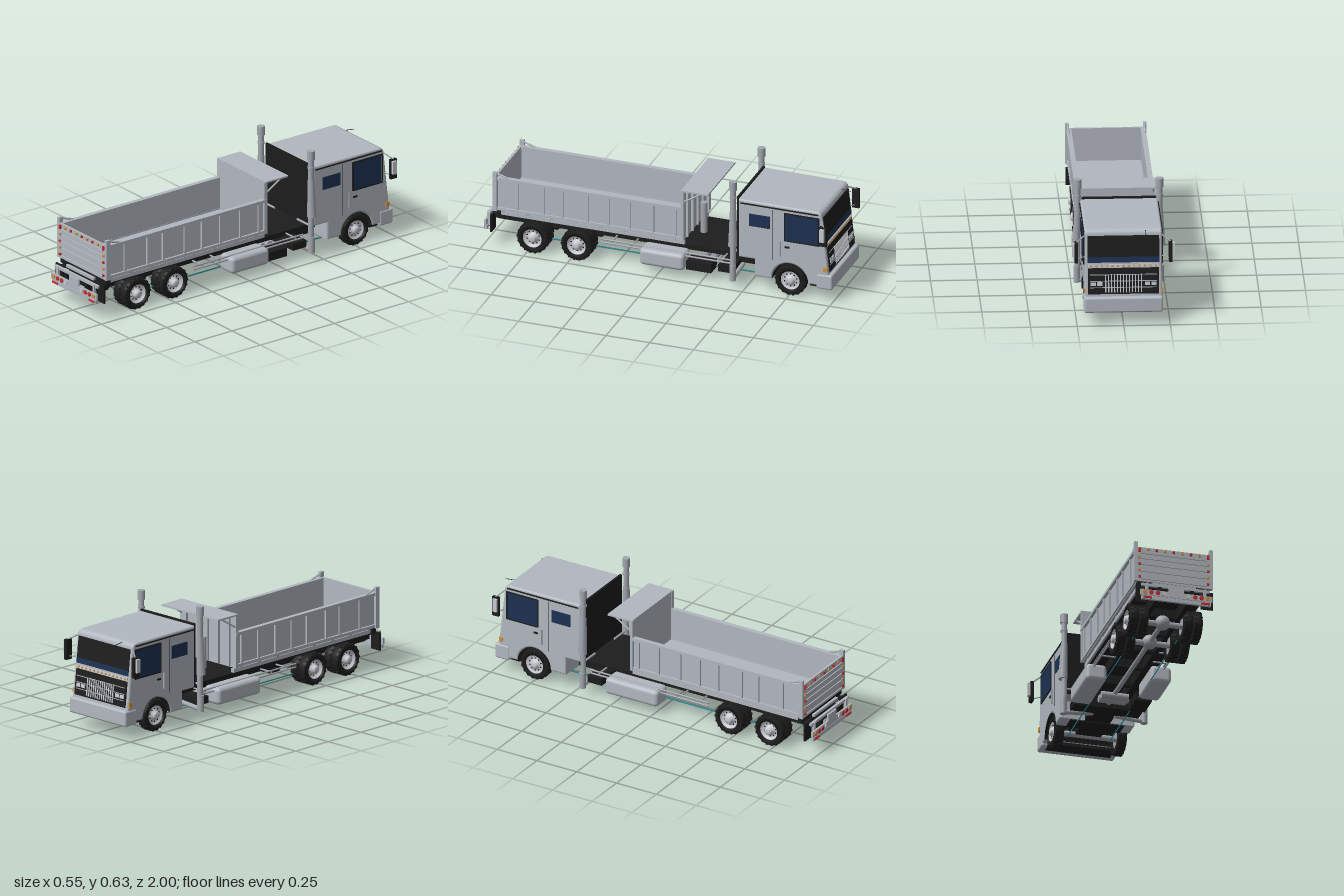
import * as THREE from 'three';
import { mergeGeometries } from 'three/addons/utils/BufferGeometryUtils.js';
import { RoundedBoxGeometry } from 'three/addons/geometries/RoundedBoxGeometry.js';

const mat = (name, color, side = THREE.FrontSide) => {
  const m = new THREE.MeshStandardMaterial({ color, side });
  m.name = name;
  return m;
};

export function createModel() {
  const paint = mat('greyPaint', 0xb2b8c0), steel = mat('steel', 0xa2a7ae), chrome = mat('chrome', 0xc6cacf);
  const black = mat('black', 0x1d1d1d, THREE.DoubleSide), glass = mat('darkBlueGlass', 0x1d3152);
  const red = mat('red', 0xcc2a2c), amber = mat('amber', 0xd2923a), teal = mat('teal', 0x1c8c9c);
  const root = new THREE.Group();
  root.name = 'dumpTruck';

  const add = (name, geo, m, x = 0, y = 0, z = 0, parent = root) => {
    const mesh = new THREE.Mesh(geo, m);
    mesh.name = name;
    mesh.position.set(x, y, z);
    parent.add(mesh);
    return mesh;
  };
  // box given by its limits on each axis
  const box = (name, m, x0, x1, y0, y1, z0, z1, parent = root) =>
    add(name, new THREE.BoxGeometry(Math.abs(x1 - x0), y1 - y0, z1 - z0), m, (x0 + x1) / 2, (y0 + y1) / 2, (z0 + z1) / 2, parent);
  const rod = (name, m, a, b, r, r2 = r, seg = 12) => {
    const p = new THREE.Vector3(...a), q = new THREE.Vector3(...b), d = q.clone().sub(p);
    const mesh = add(name, new THREE.CylinderGeometry(r2, r, d.length(), seg), m);
    mesh.position.copy(p).add(q).multiplyScalar(0.5);
    mesh.quaternion.setFromUnitVectors(new THREE.Vector3(0, 1, 0), d.normalize());
    return mesh;
  };
  const both = (fn) => [1, -1].forEach(fn);

  // Cab shell: side profile (z, y) extruded across the width
  const s = new THREE.Shape();
  s.moveTo(-0.462, 0.185);
  s.lineTo(-0.555, 0.185);
  s.lineTo(-0.555, 0.085);
  s.lineTo(-0.653, 0.085);
  s.absarc(-0.756, 0.09, 0.103, 0, Math.PI, false);
  s.lineTo(-0.96, 0.09);
  s.lineTo(-0.978, 0.16);
  s.lineTo(-0.94, 0.5);
  s.quadraticCurveTo(-0.937, 0.525, -0.91, 0.527);
  s.lineTo(-0.462, 0.53);
  s.closePath();
  const shell = new THREE.ExtrudeGeometry(s, { depth: 0.396, bevelEnabled: true, bevelSize: 0.01, bevelOffset: -0.01, bevelThickness: 0.01, bevelSegments: 3, curveSegments: 20 });
  shell.translate(0, 0, -0.198).rotateY(-Math.PI / 2);
  add('cabShell', shell, paint);
  box('cabRearPanel', black, -0.2, 0.2, 0.185, 0.54, -0.464, -0.452);
  box('cabUnderpan', black, -0.15, 0.15, 0.079, 0.084, -0.65, -0.56);
  box('cabFrontUnderpan', black, -0.18, 0.18, 0.07, 0.088, -0.95, -0.862);
  const liner = new THREE.CylinderGeometry(0.1, 0.1, 0.42, 24, 1, true, 0, Math.PI).rotateZ(Math.PI / 2);
  add('wheelArchLiner', liner, black, 0, 0.09, -0.756);
  both((k) => {
    const X = k * 0.208;
    box('doorWindow', glass, X, X + k * 0.004, 0.332, 0.487, -0.917, -0.73);
    box('rearSideWindow', glass, X, X + k * 0.004, 0.383, 0.455, -0.643, -0.525);
    box('roofGutter', black, X - k * 0.006, X + k * 0.006, 0.508, 0.514, -0.92, -0.475);
    for (const z of [-0.924, -0.728]) box('windowSeal', black, X, X + k * 0.006, 0.327, 0.492, z - 0.003, z + 0.003);
    for (const y of [0.329, 0.49]) box('windowSeal', black, X, X + k * 0.006, y - 0.003, y + 0.003, -0.924, -0.728);
    box('grabHandle', steel, X, X + k * 0.008, 0.23, 0.32, -0.706, -0.701);
    box('doorSeam', black, X, X + k * 0.002, 0.2, 0.5, -0.662, -0.66);
    box('doorHandle', black, X, X + k * 0.005, 0.285, 0.295, -0.755, -0.73);
    box('cornerMarker', amber, k * 0.19, k * 0.214, 0.18, 0.205, -0.972, -0.95);
    // mirrors
    box('mirrorHousing', black, k * 0.244, k * 0.262, 0.355, 0.468, -0.985, -0.945);
    box('mirrorGlass', chrome, k * 0.258, k * 0.275, 0.385, 0.46, -0.975, -0.95);
    rod('mirrorArm', steel, [k * 0.2, 0.5, -0.93], [k * 0.255, 0.465, -0.968], 0.004, 0.004, 6);
    rod('mirrorArm', steel, [k * 0.2, 0.38, -0.94], [k * 0.255, 0.37, -0.965], 0.003, 0.003, 6);
  });
  rod('antenna', black, [-0.12, 0.52, -0.92], [-0.12, 0.512, -0.985], 0.002, 0.002, 6);

  // Front face: plates that lie on the sloping front
  const slope = Math.atan(0.112);
  const plate = (name, m, x0, x1, y0, y1, off, t = 0.006) => {
    const y = (y0 + y1) / 2;
    const p = add(name, new THREE.BoxGeometry(x1 - x0, y1 - y0, t), m, (x0 + x1) / 2, y, -0.94 - (0.5 - y) * 0.112 - off);
    p.rotation.x = slope;
  };
  plate('windscreen', black, -0.193, 0.193, 0.375, 0.495, 0.001);
  plate('windscreenLowerBand', glass, -0.193, 0.193, 0.348, 0.378, 0.002);
  plate('markerStrip', chrome, -0.19, 0.19, 0.322, 0.338, 0.002);
  for (let i = 0; i < 13; i++) plate('markerLamp', amber, -0.179 + i * 0.029, -0.169 + i * 0.029, 0.325, 0.335, 0.006);
  plate('grille', black, -0.19, 0.19, 0.175, 0.318, 0.002);
  for (let i = 0; i < 13; i++) plate('grilleBar', chrome, -0.099 + i * 0.016, -0.093 + i * 0.016, 0.185, 0.285, 0.007);
  for (let i = 0; i < 3; i++) plate('grilleSlat', steel, -0.18, 0.18, 0.21 + i * 0.035, 0.214 + i * 0.035, 0.005);
  both((k) => {
    for (const x of [0.128, 0.163]) plate('headlamp', chrome, k * x - 0.014, k * x + 0.014, 0.222, 0.242, 0.006);
  });
  add('frontBumper', new RoundedBoxGeometry(0.424, 0.088, 0.092, 3, 0.012), paint, 0, 0.118, -0.954);

  // Exhaust stacks
  both((k) => {
    const X = k * 0.22, Z = -0.437;
    rod('exhaustPipe', steel, [X, 0.06, Z], [X, 0.6, Z], 0.0155, 0.0155, 20);
    rod('exhaustTip', steel, [X, 0.585, Z], [X, 0.636, Z], 0.021, 0.021, 20);
    rod('exhaustCollar', steel, [X, 0.535, Z], [X, 0.547, Z], 0.019, 0.019, 20);
    rod('heatShield', steel, [k * 0.227, 0.255, Z], [X, 0.465, Z], 0.025, 0.018, 10);
    rod('exhaustMuffler', steel, [k * 0.225, 0.05, Z], [k * 0.225, 0.14, Z], 0.018, 0.018, 20);
    rod('exhaustCrossPipe', steel, [X, 0.062, Z], [k * 0.06, 0.075, Z], 0.013);
    rod('exhaustBracket', steel, [k * 0.1, 0.2, Z], [X, 0.2, Z], 0.006);
  });

  // Chassis
  both((k) => {
    box('frameRail', black, k * 0.075, k * 0.1, 0.125, 0.187, -0.93, 0.955);
    box('mudFlap', black, k * 0.148, k * 0.215, 0.095, 0.195, 0.945, 0.955);
    box('airHose', teal, k * 0.115, k * 0.119, 0.062, 0.067, -0.75, 0.7);
    for (const y of [0.127, 0.146]) rod('sideGuardRail', steel, [k * 0.185, y, 0.33], [k * 0.185, y, -0.41], 0.005, 0.005, 8);
    for (const z of [0.27, 0.15, -0.36]) rod('sideGuardStay', steel, [k * 0.09, 0.137, z], [k * 0.185, 0.137, z], 0.005, 0.005, 8);
  });
  for (let z = -0.85; z < 0.95; z += 0.22) box('crossMember', black, -0.08, 0.08, 0.13, 0.18, z, z + 0.03);
  box('frameDeck', black, -0.18, 0.18, 0.185, 0.194, -0.455, 0.945);
  box('engine', black, -0.07, 0.07, 0.085, 0.18, -0.75, -0.4);
  box('batteryBox', black, 0.1, 0.19, 0.05, 0.1, -0.3, -0.157);
  box('stepBox', black, -0.19, 0.19, 0.07, 0.11, -0.43, -0.34);
  add('rightFuelTank', new RoundedBoxGeometry(0.115, 0.095, 0.33, 4, 0.022), paint, -0.17, 0.098, -0.135);
  add('leftFuelTank', new RoundedBoxGeometry(0.115, 0.095, 0.255, 4, 0.022), paint, 0.17, 0.098, -0.028);
  for (const z of [-0.27, -0.22]) rod('airTank', steel, [-0.075, 0.085, z], [0.075, 0.085, z], 0.021, 0.021, 16);
  rod('driveShaft', steel, [0, 0.1, -0.4], [0, 0.095, 0.72], 0.013);

  // Wheels
  const tyreGeo = (w) => {
    const h = w / 2, pts = [[0.054, -h], [0.078, -h], [0.087, -h * 0.8], [0.087, h * 0.8], [0.078, h], [0.054, h], [0.054, -h]];
    const parts = [new THREE.LatheGeometry(pts.map((p) => new THREE.Vector2(...p)), 32)];
    for (let i = 0; i < 36; i++) // tread blocks
      parts.push(new THREE.BoxGeometry(0.005, w * 0.42, 0.01).translate(0.087, (i % 2 ? 1 : -1) * w * 0.24, 0).rotateY(i * Math.PI / 18));
    return mergeGeometries(parts);
  };
  const tyre = tyreGeo(0.05);
  const rim = (depth) => new THREE.LatheGeometry([[0.056, 0.022], [0.051, 0.026], [0.046, depth], [0.026, depth], [0.021, 0.032], [0.012, 0.036], [0, 0.036]].map((p) => new THREE.Vector2(...p)), 28);
  const hubDisc = new THREE.CylinderGeometry(0.055, 0.055, 0.02, 28), bolt = new THREE.CylinderGeometry(0.004, 0.004, 0.004, 8);
  const wheel = (k, x, z, depth) => {
    const g = new THREE.Group();
    g.name = 'wheel';
    g.position.set(k * x, 0.0905, z);
    g.rotation.z = -k * Math.PI / 2;
    root.add(g);
    add('tyre', tyre, black, 0, 0, 0, g);
    add('hubDisc', hubDisc, steel, 0, -0.006, 0, g);
    add('rim', rim(depth), chrome, 0, 0, 0, g);
    for (let i = 0; i < 10; i++) {
      const a = i * Math.PI / 5;
      add('rimHole', bolt, black, 0.036 * Math.cos(a), depth, 0.036 * Math.sin(a), g);
    }
  };
  both((k) => {
    wheel(k, 0.175, -0.756, 0.016);
    for (const z of [0.466, 0.718]) { wheel(k, 0.178, z, 0.009); wheel(k, 0.124, z, 0.009); }
  });
  for (const z of [-0.756, 0.466, 0.718]) {
    rod('axle', steel, [-0.16, 0.0905, z], [0.16, 0.0905, z], 0.016);
    if (z > 0) add('differential', new THREE.SphereGeometry(0.041, 20, 14), steel, 0, 0.098, z);
  }

  // Tipper body
  box('bodyFloor', paint, -0.2, 0.2, 0.225, 0.24, -0.14, 0.925);
  box('headboard', paint, -0.208, 0.208, 0.225, 0.525, -0.147, -0.135);
  box('canopy', paint, -0.212, 0.212, 0.518, 0.527, -0.29, -0.135);
  for (let i = 0; i < 5; i++) box('headboardRib', paint, -0.165 + i * 0.08, -0.155 + i * 0.08, 0.23, 0.515, -0.16, -0.147);
  both((k) => {
    box('sideWall', paint, k * 0.188, k * 0.198, 0.23, 0.42, -0.14, 0.93);
    box('topRail', paint, k * 0.186, k * 0.213, 0.408, 0.424, -0.147, 0.93);
    box('bottomRail', paint, k * 0.186, k * 0.21, 0.23, 0.246, -0.147, 0.93);
    for (const z of [-0.1, 0.027, 0.16, 0.284, 0.4, 0.547, 0.652, 0.804]) box('sideRib', paint, k * 0.196, k * 0.208, 0.24, 0.412, z - 0.006, z + 0.006);
    box('subframeRail', paint, k * 0.17, k * 0.19, 0.196, 0.218, -0.147, 0.92);
    box('frontPost', paint, k * 0.19, k * 0.211, 0.225, 0.525, -0.15, -0.132);
    box('rearPost', paint, k * 0.2, k * 0.218, 0.225, 0.455, 0.915, 0.94);
    rod('rearPostBrace', paint, [k * 0.205, 0.448, 0.925], [k * 0.205, 0.42, 0.835], 0.006, 0.006, 6);
    rod('canopyBrace', paint, [k * 0.2, 0.455, -0.147], [k * 0.2, 0.518, -0.25], 0.005, 0.005, 6);
  });
  for (let z = -0.1; z < 0.9; z += 0.14) box('bodyCrossBearer', steel, -0.19, 0.19, 0.213, 0.226, z, z + 0.02);
  rod('hoistCylinder', steel, [0, 0.19, -0.19], [0, 0.37, -0.19], 0.019, 0.019, 18);
  box('bodyRearSill', black, -0.2, 0.2, 0.196, 0.226, 0.9, 0.93);

  // Tailgate with ribs and lamps
  box('tailgate', paint, -0.2, 0.2, 0.225, 0.425, 0.925, 0.938);
  for (const y of [0.24, 0.285, 0.325, 0.36, 0.39]) box('tailgateRib', paint, -0.183, 0.183, y - 0.004, y + 0.004, 0.938, 0.944);
  const lamp = (m, x, y, w, h, z = 0.943) => box('lamp', m, x - w / 2, x + w / 2, y - h / 2, y + h / 2, z - 0.006, z + 0.003);
  for (let i = -4; i <= 4; i++) {
    const end = Math.abs(i) === 4;
    lamp(i % 2 ? amber : red, i * 0.0477, end ? 0.407 : 0.412, 0.012, end ? 0.023 : 0.012);
  }
  both((k) => [amber, red, amber, red].forEach((m, i) => lamp(m, k * 0.191, 0.363 - i * 0.038, 0.012, 0.012)));

  // Rear bumper with lights
  box('rearCrossBar', paint, -0.12, 0.12, 0.2, 0.215, 0.94, 0.955);
  box('rearUpperRail', paint, -0.19, 0.19, 0.181, 0.196, 0.965, 0.98);
  box('rearLampBar', paint, -0.2, 0.2, 0.12, 0.153, 0.984, 0.995);
  box('rearLowerBar', paint, -0.193, 0.193, 0.096, 0.118, 0.98, 0.995);
  box('numberPanel', paint, -0.042, 0.042, 0.15, 0.19, 0.985, 0.995);
  both((k) => {
    box('bumperPost', paint, k * 0.153, k * 0.168, 0.11, 0.196, 0.972, 0.986);
    box('bumperArm', black, k * 0.08, k * 0.1, 0.13, 0.18, 0.95, 0.984);
    lamp(red, k * 0.161, 0.106, 0.048, 0.01, 0.997);
    [[0.175, amber], [0.14, red], [0.104, red], [0.068, chrome]].forEach(([x, m]) => {
      const l = add('tailLamp', new THREE.CylinderGeometry(0.0125, 0.0125, 0.008, 8), m, k * x, 0.137, 0.996);
      l.rotation.x = Math.PI / 2;
    });
  });
  return root;
}
